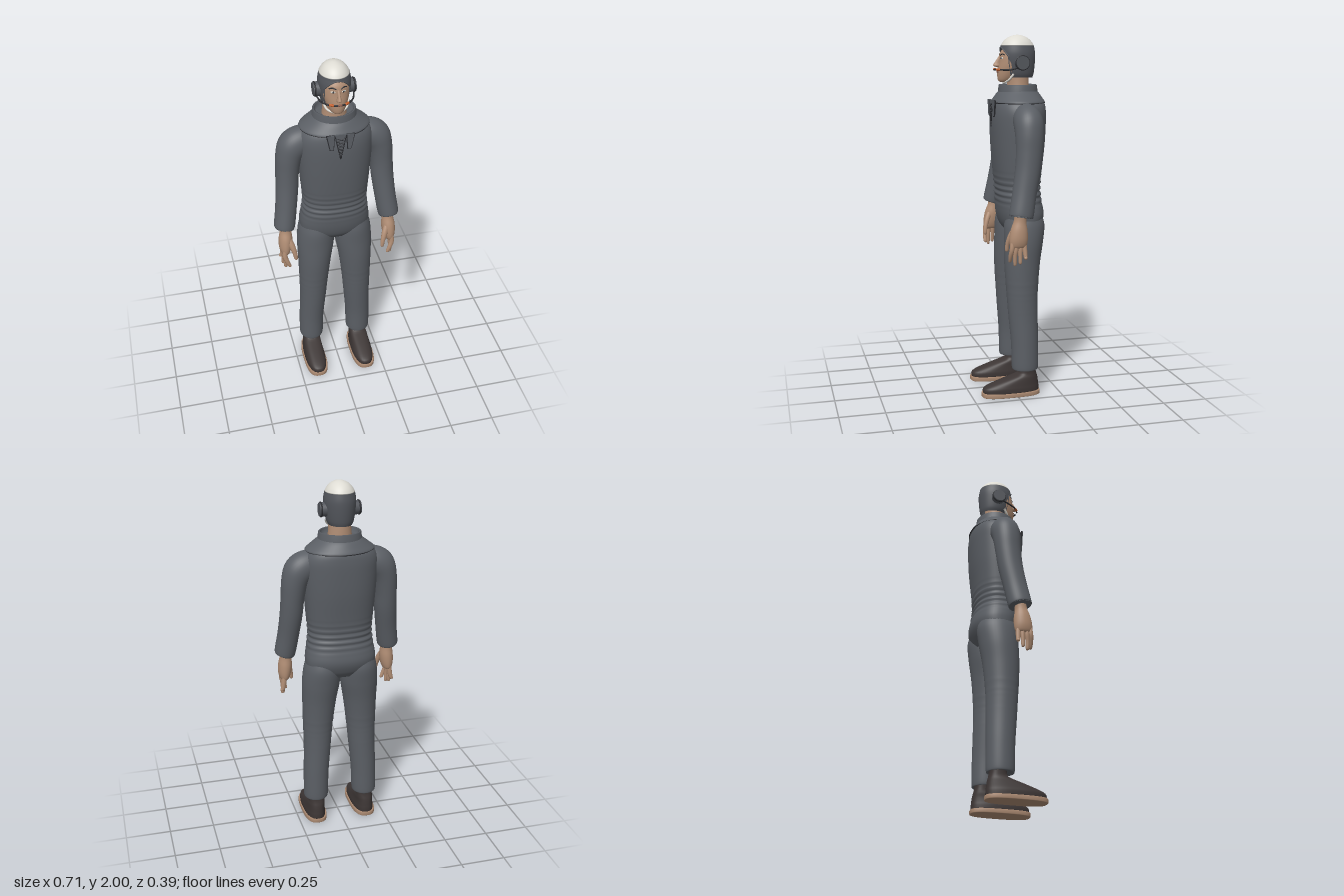
import * as THREE from 'three';

const mat = (name, color, side = THREE.FrontSide) => {
  const m = new THREE.MeshStandardMaterial({ color, side });
  m.name = name;
  return m;
};

// Smooth interpolation of whole rows of numbers
function smoothRows(rows, steps) {
  if (steps < 2) return rows;
  const out = [], at = i => rows[Math.max(0, Math.min(rows.length - 1, i))];
  for (let i = 0; i < rows.length - 1; i++) for (let s = 0; s < steps; s++) {
    const t = s / steps;
    out.push(rows[i].map((b, k) => {
      const a = at(i - 1)[k], c = at(i + 1)[k], d = at(i + 2)[k];
      return b + 0.5 * t * (c - a + t * (2 * a - 5 * b + 4 * c - d + t * (3 * (b - c) + d - a)));
    }));
  }
  out.push(rows[rows.length - 1]);
  return out;
}

// Skin over rings [x, y, z, radiusX, radiusZ]; rings lie flat or follow the path.
// gap(y) leaves an opening around +z; fold(y) adds cloth ripples.
function loft(rows, { n = 40, steps = 4, power = 2, follow = false, gap = null, fold = null } = {}) {
  const rings = smoothRows(rows, steps), pos = [], idx = [], stride = gap ? n + 1 : n;
  const centre = r => new THREE.Vector3(r[0], r[1], r[2]);
  const Z = new THREE.Vector3(0, 0, 1);
  rings.forEach((r, i) => {
    const T = new THREE.Vector3(0, 1, 0);
    if (follow) T.subVectors(centre(rings[Math.min(i + 1, rings.length - 1)]), centre(rings[Math.max(i - 1, 0)])).normalize();
    const side = T.clone().cross(Z).normalize(), fwd = side.clone().cross(T);
    const g = gap ? gap(r[1]) : 0, f = fold ? fold(r[1]) : 0;
    for (let j = 0; j < stride; j++) {
      const t = Math.PI / 2 + g + (j / n) * (2 * Math.PI - 2 * g);
      const c = Math.cos(t), s = Math.sin(t), e = 2 / power;
      const p = centre(r)
        .addScaledVector(side, Math.sign(c) * Math.abs(c) ** e * (r[3] + f))
        .addScaledVector(fwd, Math.sign(s) * Math.abs(s) ** e * (r[4] + f));
      pos.push(p.x, p.y, p.z);
    }
  });
  for (let i = 0; i < rings.length - 1; i++) for (let j = 0; j < n; j++) {
    const k = gap ? j + 1 : (j + 1) % n;
    const a = i * stride + j, b = i * stride + k, d = a + stride, c = b + stride;
    idx.push(a, d, b, b, d, c);
  }
  if (!gap) {
    const first = pos.length / 3, last = (rings.length - 1) * stride;
    pos.push(...rings[0].slice(0, 3), ...rings[rings.length - 1].slice(0, 3));
    for (let j = 0; j < n; j++) {
      idx.push(first, j, (j + 1) % n, first + 1, last + (j + 1) % n, last + j);
    }
  }
  const geo = new THREE.BufferGeometry();
  geo.setAttribute('position', new THREE.Float32BufferAttribute(pos, 3));
  geo.setIndex(idx);
  geo.computeVertexNormals();
  return geo;
}

const tube = (pts, r, closed = false) => new THREE.TubeGeometry(
  new THREE.CatmullRomCurve3(pts.map(p => new THREE.Vector3(...p)), closed), pts.length * 8, r, 8, closed);

const plate = (pts, z, depth = 0.008) => new THREE.ExtrudeGeometry(
  new THREE.Shape(pts.map(p => new THREE.Vector2(...p))), { depth, bevelEnabled: false }).translate(0, 0, z);

function mirrored(geo) {
  const g = (geo.index ? geo.toNonIndexed() : geo.clone()).scale(-1, 1, 1);
  for (const name of ['position', 'normal']) {
    const a = g.attributes[name];
    for (let i = 0; i < a.count; i += 3) {
      const p = [a.getX(i), a.getY(i), a.getZ(i)];
      a.setXYZ(i, a.getX(i + 1), a.getY(i + 1), a.getZ(i + 1));
      a.setXYZ(i + 1, ...p);
    }
  }
  return g;
}

export function createModel() {
  const model = new THREE.Group();
  model.name = 'standingFigure';
  const suit = mat('suitGrey', 0x5b5f65), helmet = mat('helmetGrey', 0x53565c, THREE.DoubleSide);
  const white = mat('offWhite', 0xdedcd4), skin = mat('skin', 0xb08d74), shoe = mat('shoeBrown', 0x3d3635);
  const sole = mat('soleTan', 0xa98870), dark = mat('darkTrim', 0x2b2c30), orange = mat('orange', 0xc4602c);
  const lip = mat('lip', 0x92604f);
  const add = (name, geo, m) => {
    const mesh = new THREE.Mesh(geo, m);
    mesh.name = name;
    model.add(mesh);
  };
  const both = (name, geo, m) => {
    add(name + 'Left', geo, m);
    add(name + 'Right', mirrored(geo), m);
  };

  // Torso with gathered folds at the waist
  const band = (y, a, b) => (y > a && y < b ? Math.sin(Math.PI * (y - a) / (b - a)) : 0);
  add('torso', loft([
    [0, 0.92, -0.06, 0.12, 0.08], [0, 0.96, -0.06, 0.185, 0.108], [0, 1.02, -0.06, 0.198, 0.125],
    [0, 1.1, -0.05, 0.186, 0.122], [0, 1.17, -0.046, 0.178, 0.12], [0, 1.27, -0.045, 0.187, 0.13],
    [0, 1.4, -0.047, 0.197, 0.142], [0, 1.52, -0.048, 0.204, 0.147], [0, 1.59, -0.05, 0.202, 0.145],
    [0, 1.635, -0.052, 0.18, 0.136], [0, 1.665, -0.052, 0.14, 0.115],
  ], { n: 56, steps: 10, power: 2.35, fold: y => 0.004 * band(y, 1.06, 1.26) * Math.sin(y * 190) }), suit);

  // Wide lower collar and standing collar
  add('collarFlange', loft([
    [0, 1.625, -0.05, 0.17, 0.13], [0, 1.632, -0.05, 0.187, 0.145], [0, 1.642, -0.05, 0.187, 0.144],
    [0, 1.66, -0.05, 0.165, 0.133], [0, 1.685, -0.05, 0.132, 0.116], [0, 1.7, -0.05, 0.115, 0.1],
  ], { n: 48 }), suit);
  add('collarSeam', tube(Array.from({ length: 20 }, (_, i) => {
    const t = i / 10 * Math.PI;
    return [0.186 * Math.cos(t), 1.634, -0.05 + 0.145 * Math.sin(t)];
  }), 0.003, true), dark);
  add('standingCollar', loft([
    [0, 1.67, -0.05, 0.124, 0.112], [0, 1.69, -0.05, 0.12, 0.109], [0, 1.728, -0.05, 0.115, 0.105],
    [0, 1.732, -0.05, 0.111, 0.101], [0, 1.728, -0.05, 0.102, 0.093], [0, 1.695, -0.05, 0.1, 0.09],
  ], { n: 48, steps: 1 }), suit);

  // Neck opening: flaps and lacing
  add('neckOpening', plate([[-0.032, 1.65], [0, 1.5], [0.032, 1.65]], 0.093), suit);
  both('flapEdge', plate([[0.03, 1.65], [0.036, 1.556], [0.058, 1.56], [0.077, 1.648]], 0.092), dark);
  both('flap', plate([[0.034, 1.65], [0.04, 1.562], [0.055, 1.564], [0.072, 1.648]], 0.096), suit);
  both('openingEdge', tube([[0.03, 1.645, 0.1], [0.016, 1.575, 0.102], [0, 1.502, 0.102]], 0.0025), dark);
  for (let i = 0; i < 6; i++) {
    const y = 1.63 - i * 0.02, w = 0.024 - i * 0.0035;
    both('lace', tube([[-w, y, 0.102], [0, y - 0.01, 0.104], [w, y - 0.02, 0.102]], 0.002), dark);
  }

  // Sleeves
  both('sleeve', loft([
    [0.12, 1.56, -0.05, 0.07, 0.06], [0.175, 1.556, -0.05, 0.082, 0.075], [0.222, 1.53, -0.05, 0.084, 0.08],
    [0.248, 1.47, -0.048, 0.073, 0.077], [0.261, 1.38, -0.043, 0.064, 0.072], [0.268, 1.28, -0.032, 0.062, 0.069],
    [0.281, 1.16, -0.01, 0.059, 0.066], [0.297, 1.05, 0.01, 0.058, 0.066], [0.298, 1.045, 0.011, 0.05, 0.058],
  ], { follow: true, steps: 6 }), suit);

  // Hands
  both('hand', loft([
    [0.295, 1.07, 0.012, 0.03, 0.035], [0.294, 1.02, 0.016, 0.031, 0.034], [0.296, 0.97, 0.022, 0.038, 0.046],
    [0.3, 0.92, 0.026, 0.036, 0.05], [0.302, 0.885, 0.028, 0.026, 0.045], [0.302, 0.875, 0.028, 0.014, 0.03],
  ], { follow: true, n: 24 }), skin);
  [[0.07, 0.795, 0.285], [0.047, 0.78, 0.305], [0.02, 0.79, 0.315], [-0.008, 0.815, 0.325]].forEach(([z, y, x], i) => {
    const z0 = 0.06 - i * 0.021;
    both('finger', loft([
      [0.305, 0.92, z0, 0.013, 0.012], [0.31, 0.87, (z0 + z) / 2, 0.014, 0.013],
      [(x + 0.31) / 2, 0.83, z, 0.012, 0.011], [x, y + 0.006, z, 0.009, 0.009], [x, y, z, 0.003, 0.003],
    ], { follow: true, n: 12 }), skin);
  });
  both('thumb', loft([
    [0.285, 0.98, 0.04, 0.016, 0.016], [0.268, 0.935, 0.062, 0.017, 0.015], [0.255, 0.89, 0.075, 0.013, 0.012],
    [0.25, 0.855, 0.078, 0.01, 0.01], [0.249, 0.848, 0.078, 0.003, 0.003],
  ], { follow: true, n: 12 }), skin);

  // Trouser legs with creases at the knee
  both('trouserLeg', loft([
    [0.145, 0.152, -0.055, 0.06, 0.066], [0.145, 0.16, -0.055, 0.07, 0.075], [0.142, 0.3, -0.053, 0.072, 0.077],
    [0.133, 0.46, -0.046, 0.077, 0.083], [0.127, 0.6, -0.042, 0.084, 0.089], [0.119, 0.75, -0.044, 0.095, 0.1],
    [0.11, 0.87, -0.054, 0.106, 0.109], [0.104, 0.96, -0.06, 0.103, 0.113], [0.1, 1.02, -0.06, 0.09, 0.1],
  ], { steps: 9, fold: y => 0.003 * band(y, 0.48, 0.65) * Math.sin(y * 210) }), suit);

  // Shoes: rounded sole and low upper rising to the ankle
  both('sole', loft([
    [0.147, 0, 0.029, 0.064, 0.164], [0.147, 0.003, 0.029, 0.067, 0.167], [0.147, 0.02, 0.029, 0.067, 0.167],
    [0.147, 0.024, 0.029, 0.064, 0.164],
  ], { steps: 1, power: 2.9 }), sole);
  both('shoe', loft([
    [0.147, 0.022, 0.028, 0.06, 0.16], [0.147, 0.045, 0.028, 0.06, 0.16], [0.147, 0.062, 0.016, 0.057, 0.146],
    [0.147, 0.085, -0.015, 0.053, 0.112], [0.146, 0.105, -0.045, 0.05, 0.078], [0.145, 0.122, -0.065, 0.046, 0.053],
    [0.145, 0.145, -0.068, 0.045, 0.046], [0.145, 0.19, -0.068, 0.045, 0.046],
  ], { power: 2.5, steps: 3 }), shoe);

  // Neck and face
  add('neck', loft([[0, 1.68, -0.05, 0.068, 0.062], [0, 1.74, -0.05, 0.062, 0.06], [0, 1.82, -0.045, 0.058, 0.06]]), skin);
  add('face', loft([
    [0, 1.745, 0.025, 0.02, 0.022], [0, 1.752, 0.018, 0.034, 0.042], [0, 1.775, 0.002, 0.05, 0.063],
    [0, 1.81, -0.012, 0.064, 0.076], [0, 1.85, -0.02, 0.073, 0.078], [0, 1.9, -0.03, 0.074, 0.08],
    [0, 1.935, -0.045, 0.062, 0.07],
  ], { steps: 5 }), skin);
  add('nose', loft([
    [0, 1.826, 0.06, 0.009, 0.01], [0, 1.834, 0.068, 0.014, 0.021], [0, 1.85, 0.064, 0.009, 0.018],
    [0, 1.885, 0.048, 0.007, 0.009],
  ], { n: 16 }), skin);
  const onFace = (w, h, x, y, z, turn) => new THREE.SphereGeometry(1, 16, 10).scale(w, h, 0.004).rotateY(turn).translate(x, y, z);
  both('eyeWhite', onFace(0.013, 0.006, 0.028, 1.874, 0.0475, 0.4), white);
  both('pupil', onFace(0.0055, 0.0055, 0.027, 1.874, 0.05, 0.4), dark);
  both('eyebrow', tube([[0.012, 1.889, 0.051], [0.03, 1.896, 0.044], [0.046, 1.89, 0.034]], 0.0035), dark);
  add('mouth', onFace(0.02, 0.006, 0, 1.802, 0.065, 0), lip);

  // Helmet shell with an arched face opening, and a white crown
  const opening = y => (y >= 1.932 ? 0 : 0.86 * Math.sqrt(Math.min(1, (1.932 - y) / 0.05)));
  const shell = loft([
    [0, 1.77, -0.055, 0.064, 0.077], [0, 1.795, -0.052, 0.074, 0.087], [0, 1.85, -0.048, 0.083, 0.097],
    [0, 1.9, -0.047, 0.086, 0.099], [0, 1.942, -0.047, 0.079, 0.092],
  ], { gap: opening, n: 48, steps: 8 });
  add('helmetShell', shell, helmet);
  const p = shell.attributes.position, rim = [];
  for (let i = 0; i < p.count && p.getY(i) < 1.931; i += 49) rim.push([p.getX(i), p.getY(i), p.getZ(i)]);
  rim.push([0, 1.932, 0.048]);
  const arch = rim.concat(rim.slice(0, -1).reverse().map(([x, y, z]) => [-x, y, z]));
  add('helmetRim', tube(arch, 0.004), helmet);
  add('helmetCrown', loft([
    [0, 1.942, -0.047, 0.079, 0.092], [0, 1.962, -0.047, 0.068, 0.08], [0, 1.981, -0.047, 0.051, 0.06],
    [0, 1.993, -0.047, 0.03, 0.037], [0, 1.999, -0.047, 0.012, 0.014], [0, 2, -0.047, 0.002, 0.002],
  ], { n: 48 }), white);

  // Earphones, chin strap and twin microphone booms
  const disc = (r, h, x) => new THREE.CylinderGeometry(r * 0.92, r, h, 28).rotateZ(-Math.PI / 2).translate(x, 1.85, -0.05);
  both('earphone', disc(0.039, 0.04, 0.092), helmet);
  both('earphoneRing', new THREE.TorusGeometry(0.037, 0.004, 8, 32).rotateY(Math.PI / 2).translate(0.103, 1.85, -0.05), dark);
  add('chinStrap', tube([[0.068, 1.79, -0.01], [0.05, 1.757, 0.015], [0, 1.742, 0.03], [-0.05, 1.757, 0.015], [-0.068, 1.79, -0.01]], 0.006), white);
  both('microphoneBoom', tube([[0.1, 1.825, -0.03], [0.085, 1.812, 0.02], [0.06, 1.812, 0.055], [0.03, 1.812, 0.076], [0.01, 1.814, 0.086]], 0.0045), dark);
  both('microphoneTip', new THREE.CapsuleGeometry(0.007, 0.016, 4, 10).rotateZ(Math.PI / 2).rotateY(0.6).translate(0.041, 1.813, 0.07), orange);
  return model;
}
